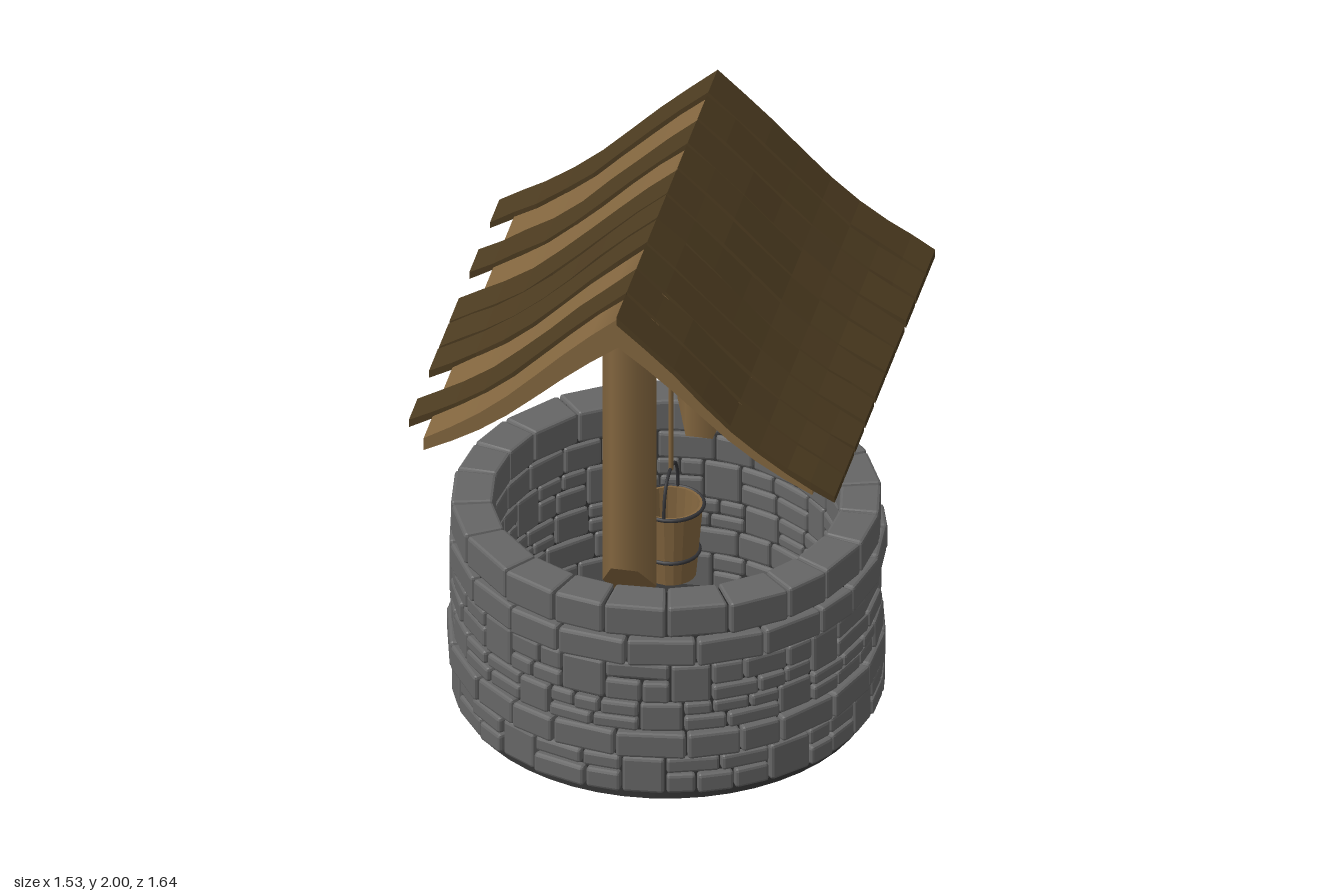
import * as THREE from 'three';
import { mergeGeometries } from 'three/addons/utils/BufferGeometryUtils.js';
import { RoundedBoxGeometry } from 'three/addons/geometries/RoundedBoxGeometry.js';

const mat = (name, color, side = THREE.FrontSide) =>
  new THREE.MeshStandardMaterial({ name, color, side });
const stone = mat('stone', 0x666666);
const mortar = mat('mortar', 0x353535, THREE.DoubleSide);
const wood = mat('light wood', 0x83663f, THREE.DoubleSide);
const plankWood = mat('dark plank wood', 0x4c3b20);
const iron = mat('iron', 0x333336);

// small seeded generator
let seed = 7;
function rand(a = 0, b = 1) {
  seed = (seed * 16807) % 2147483647;
  return a + (b - a) * (seed / 2147483647);
}

function add(parent, name, geo, material) {
  const m = new THREE.Mesh(geo, material);
  m.name = name;
  parent.add(m);
  return m;
}

// moves every vertex of a geometry by a rule
function warp(geo, rule) {
  const p = geo.attributes.position, v = new THREE.Vector3();
  for (let i = 0; i < p.count; i++) {
    rule(v.fromBufferAttribute(p, i));
    p.setXYZ(i, v.x, v.y, v.z);
  }
  return geo;
}

// ---- stone wall ----
const INNER = 0.595, GAP = 0.007;

// one bevelled block bent around the well
function block(a0, a1, y0, y1, r) {
  r += rand(-0.006, 0.006);
  const w = (a1 - a0) * r - GAP, h = y1 - y0 - GAP, d = r - INNER;
  const geo = new RoundedBoxGeometry(w, h, d, 1, 0.011);
  const mid = (a0 + a1) / 2;
  warp(geo, v => {
    const a = mid + v.x / r, rr = INNER + d / 2 + v.z;
    v.set(Math.sin(a) * rr, v.y + (y0 + y1) / 2, Math.cos(a) * rr);
  });
  geo.computeVertexNormals();
  return geo;
}

// random angles that fill a span
function splits(a0, a1, min, max) {
  const w = [];
  let sum = 0;
  while (sum < a1 - a0 - min / 2) { w.push(rand(min, max)); sum += w[w.length - 1]; }
  const k = (a1 - a0) / sum;
  const out = [a0];
  w.forEach(x => out.push(out[out.length - 1] + x * k));
  return out;
}

function course(y0, y1, r, mixed) {
  const parts = [], start = rand(0, 1);
  const row = (angles, b, t) => {
    for (let i = 0; i + 1 < angles.length; i++) parts.push(block(angles[i], angles[i + 1], b, t, r));
  };
  if (!mixed) row(splits(start, start + Math.PI * 2, 0.2, 0.36), y0, y1);
  else {
    // tall blocks between stacks of two thin layers
    const a = splits(start, start + Math.PI * 2, 0.5, 0.75);
    for (let i = 0; i + 1 < a.length; i++) {
      const tall = a[i] + rand(0.17, 0.23), ym = y0 + (y1 - y0) * rand(0.42, 0.58);
      row([a[i], tall], y0, y1);
      row(splits(tall, a[i + 1], 0.14, 0.27), y0, ym);
      row(splits(tall, a[i + 1], 0.14, 0.27), ym, y1);
    }
  }
  return mergeGeometries(parts);
}

function buildWall() {
  const g = new THREE.Group();
  g.name = 'well wall';
  [[0.035, 0.18, 0.742, true], [0.18, 0.284, 0.752, false], [0.284, 0.4, 0.738, true],
    [0.4, 0.554, 0.738, true], [0.554, 0.662, 0.752, false], [0.662, 0.79, 0.74, false],
  ].forEach((c, i) => add(g, 'stone course ' + (i + 1), course(...c), stone));
  // mortar ring between the blocks
  const ring = [[0.61, 0.02], [0.715, 0.04], [0.715, 0.772], [0.61, 0.772], [0.61, 0.02]]
    .map(p => new THREE.Vector2(...p));
  add(g, 'mortar core', new THREE.LatheGeometry(ring, 48), mortar);
  add(g, 'base disc', new THREE.CylinderGeometry(0.706, 0.706, 0.05, 48), mortar).position.y = 0.025;
  return g;
}

// ---- posts ----
function post() {
  const top = 1.84, bottom = 0.7;
  const geo = new THREE.CylinderGeometry(0.094, 0.094, top - bottom, 6, 1, false, Math.PI / 6);
  // slanted cut at the foot, facing outward
  warp(geo, v => {
    const z = v.z + 0.6;
    v.set(v.x, v.y > 0 ? top : 0.9 - (0.682 - z) * 1.25, z);
  });
  const n = geo.attributes.normal;
  for (let i = 0; i < n.count; i++) if (n.getY(i) < -0.5) n.setXYZ(i, 0, -0.62, 0.78);
  return geo;
}

// ---- roof ----
const PROFILE = [[0, 2], [0.1, 1.915], [0.2, 1.822], [0.3, 1.722], [0.4, 1.625],
  [0.5, 1.543], [0.6, 1.475], [0.68, 1.427], [0.763, 1.38]];
function roofY(x) {
  x = Math.abs(x);
  let i = 1;
  while (i < PROFILE.length - 1 && x > PROFILE[i][0]) i++;
  const [x0, y0] = PROFILE[i - 1], [x1, y1] = PROFILE[i];
  return y0 + (y1 - y0) * (x - x0) / (x1 - x0);
}

// a plank with uneven edges that follows the roof curve
function plank(side, z) {
  const n = PROFILE.length - 1;
  const rows = PROFILE.map(() => [rand(-0.006, 0.006), rand(-0.006, 0.006), rand(-0.007, 0)]);
  const geo = warp(new THREE.BoxGeometry(1, 1, 1, n, 1, 1), v => {
    const u = Math.round((v.x + 0.5) * n), i = side > 0 ? u : n - u;
    const [x, y] = PROFILE[i], [back, front, dip] = rows[i];
    const lift = v.y > 0 ? (i ? dip : 0) : -0.03;
    v.set(side * x, y + lift, z + v.z * 0.15 + (v.z > 0 ? front : back));
  }).toNonIndexed();
  geo.computeVertexNormals();
  return geo;
}

function buildRoof() {
  const g = new THREE.Group();
  g.name = 'roof';
  const under = warp(new THREE.BoxGeometry(1.36, 1, 1.57, 14, 1, 1), v => {
    const t = Math.abs(v.x) / 0.68;
    v.y = roofY(v.x) - (v.y > 0 ? 0.022 : 0.138 - 0.068 * t);
  });
  under.computeVertexNormals();
  add(g, 'roof underlay', under, wood);
  const missingRight = [1, 3, 7, 9]; // gaps on the -x slope
  for (let i = 0; i < 10; i++) {
    const z = -0.738 + i * 0.1638;
    add(g, 'left roof plank ' + (i + 1), plank(1, z), plankWood);
    if (!missingRight.includes(i)) add(g, 'right roof plank ' + (i + 1), plank(-1, z), plankWood);
  }
  add(g, 'cross beam', new THREE.BoxGeometry(0.11, 0.1, 1.16), wood).position.y = 1.71;
  return g;
}

// ---- bucket ----
function buildBucket() {
  const g = new THREE.Group();
  g.name = 'bucket';
  g.position.set(0.05, 0, 0.165);
  const shell = [[0, 0.58], [0.088, 0.58], [0.112, 0.86], [0.1, 0.86], [0.08, 0.6], [0, 0.6]]
    .map(p => new THREE.Vector2(...p));
  const body = new THREE.LatheGeometry(shell, 20).toNonIndexed();
  body.computeVertexNormals();
  add(g, 'bucket body', body, wood);
  // iron hoops
  [[0.114, 0.857], [0.099, 0.675]].forEach(([r, y], i) => {
    const hoop = add(g, 'bucket hoop ' + (i + 1), new THREE.TorusGeometry(r, 0.007, 6, 28), iron);
    hoop.rotation.x = Math.PI / 2;
    hoop.position.y = y;
  });
  // bail handle
  const arc = new THREE.CatmullRomCurve3([[-0.112, 0.855], [-0.105, 0.925], [-0.07, 0.98], [0, 1.0],
    [0.07, 0.98], [0.105, 0.925], [0.112, 0.855]].map(([z, y]) => new THREE.Vector3(0, y, z)));
  add(g, 'bucket handle', new THREE.TubeGeometry(arc, 20, 0.006, 6), iron);
  add(g, 'rope', new THREE.CylinderGeometry(0.009, 0.009, 0.72, 8), wood).position.y = 1.355;
  return g;
}

export function createModel() {
  const model = new THREE.Group();
  model.name = 'wishing well';
  model.add(buildWall());
  add(model, 'front post', post(), wood);
  add(model, 'back post', post(), wood).rotation.y = Math.PI;
  model.add(buildRoof(), buildBucket());
  return model;
}
